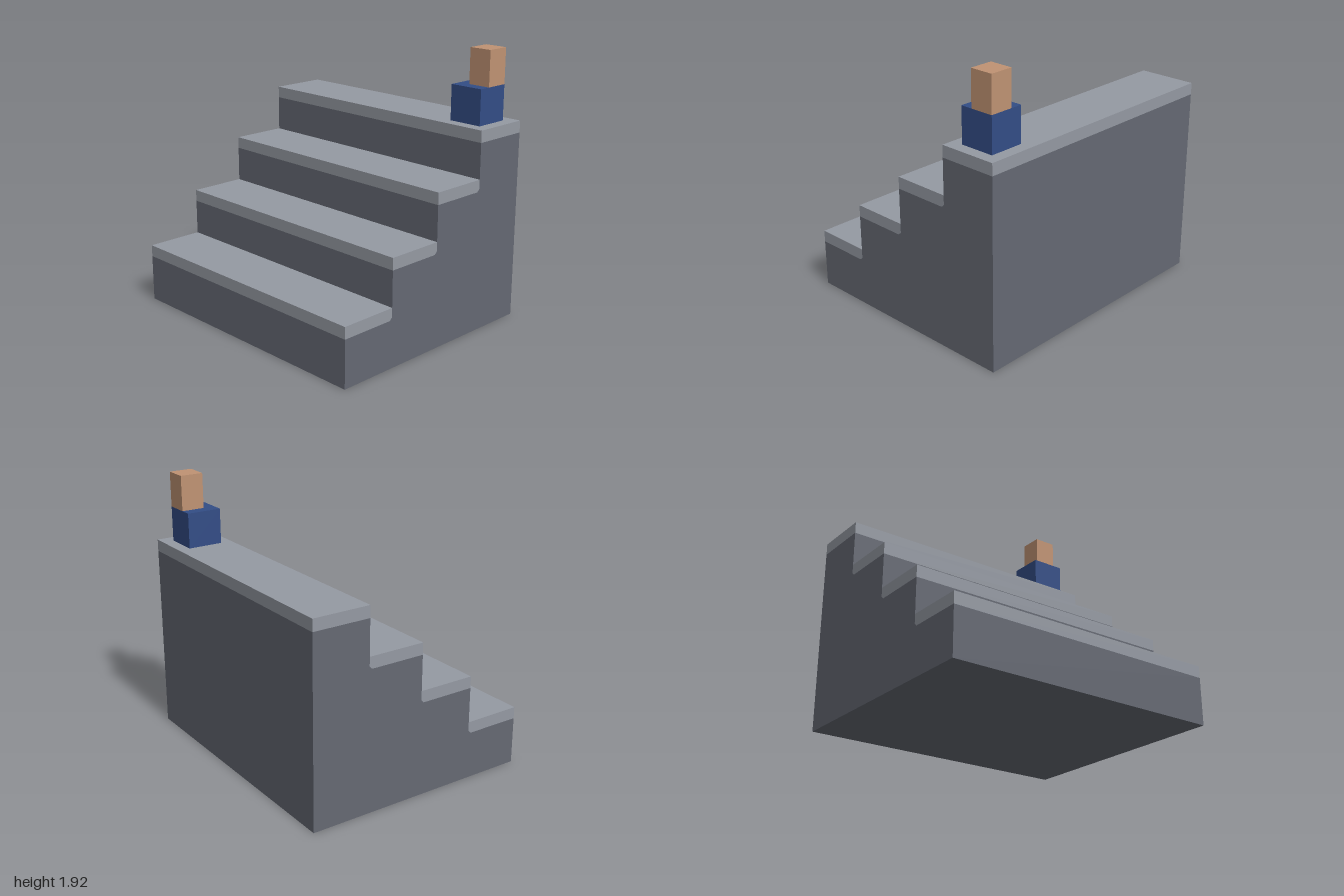
import * as THREE from 'three';

const U = 1 / 12; // base grid unit
const STEPS = 4, DEPTH = 5 * U, RISE = 4 * U, TREAD = U, FRONT = 10 * U, WIDTH = 2;
const CHAMFER = 0.02;

function material(name, color) {
  const m = new THREE.MeshStandardMaterial({ color });
  m.name = name;
  return m;
}

// Extrude a (z, y) side profile across the full width
function sideExtrude(name, points, mat) {
  const shape = new THREE.Shape(points.map(([z, y]) => new THREE.Vector2(z, y)));
  const geo = new THREE.ExtrudeGeometry(shape, { depth: WIDTH, bevelEnabled: false });
  geo.translate(0, 0, -WIDTH / 2).rotateY(-Math.PI / 2);
  const mesh = new THREE.Mesh(geo, mat);
  mesh.name = name;
  return mesh;
}

function block(name, w, h, d, x, y, z, mat) {
  const mesh = new THREE.Mesh(new THREE.BoxGeometry(w, h, d), mat);
  mesh.position.set(x, y + h / 2, z);
  mesh.name = name;
  return mesh;
}

export function createModel() {
  const group = new THREE.Group();
  group.name = 'staircase';
  const riserGrey = material('riser grey', 0x656973);
  const treadGrey = material('tread grey', 0x959aa3);
  const blue = material('blue', 0x334d86);
  const tan = material('tan', 0xc09373);

  // Treads, with the lower back corner cut where they meet the next riser
  const body = [[FRONT, 0]];
  for (let i = 0; i < STEPS; i++) {
    const zf = FRONT - i * DEPTH, zb = zf - DEPTH;
    const y = RISE * (i + 1), top = y + TREAD;
    const c = i < STEPS - 1 ? CHAMFER : 0;
    const under = c ? [[zb + c, y], [zb, y + c]] : [[zb, y]];
    group.add(sideExtrude('tread' + (i + 1), [[zf, top], [zf, y], ...under, [zb, top]], treadGrey));
    body.push([zf, y], ...under);
  }

  // Solid stepped body below the treads
  body.push([-FRONT, 0]);
  group.add(sideExtrude('stairBody', body, riserGrey));

  // Two stacked blocks on the top step, sharing their outer back corner
  const top = STEPS * RISE + TREAD;
  group.add(block('lowerBlock', 3 * U, 3 * U, 3 * U, 9.5 * U, top, -7.5 * U, blue));
  group.add(block('upperBlock', 2 * U, 3 * U, 2 * U, 10 * U, top + 3 * U, -8 * U, tan));
  return group;
}
